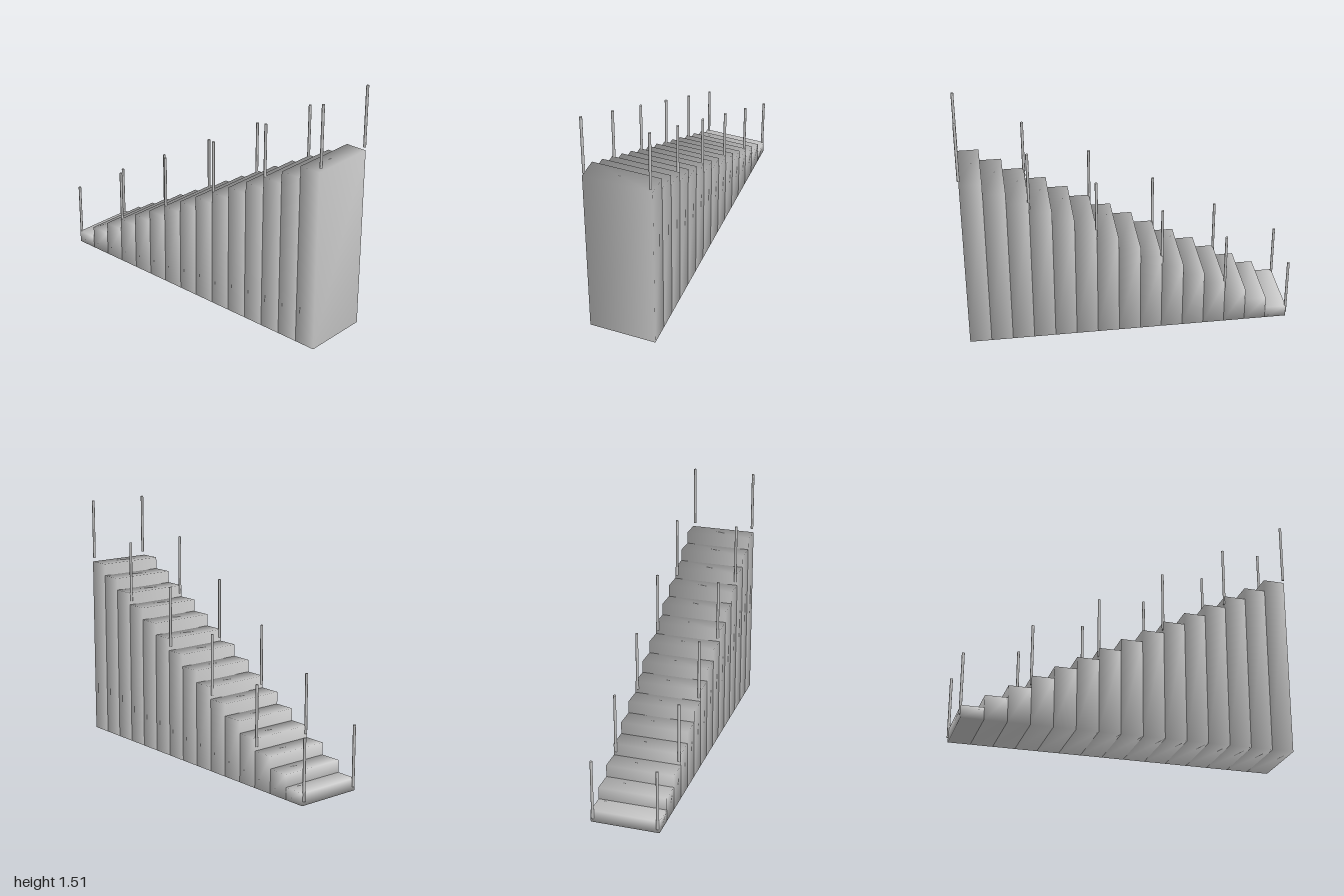
import * as THREE from 'three';
import { mergeVertices } from 'three/addons/utils/BufferGeometryUtils.js';

const STEPS = 15, RUN = 1.985 / STEPS, RISE = 0.0745, DEPTH = 0.414;
const POST_HEIGHT = 0.37, POST_RADIUS = 0.0085;

// Box whose corners share one smooth normal
function softBox(w, h, d) {
  const box = new THREE.BoxGeometry(w, h, d);
  box.deleteAttribute('normal');
  box.deleteAttribute('uv');
  const geometry = mergeVertices(box);
  geometry.computeVertexNormals();
  return geometry;
}

export function createModel() {
  const group = new THREE.Group();
  group.name = 'staircase';
  const material = new THREE.MeshStandardMaterial({ color: 0xcccccc });

  // Solid steps, each a block standing on the ground
  const steps = new THREE.Group();
  steps.name = 'steps';
  for (let i = 0; i < STEPS; i++) {
    const height = RISE * (i + 1);
    const step = new THREE.Mesh(softBox(RUN, height, DEPTH), material);
    step.name = `step${i + 1}`;
    step.position.set((i - (STEPS - 1) / 2) * RUN, height / 2, 0);
    steps.add(step);
  }
  group.add(steps);

  // Railing posts on both sides, one for every three steps
  const posts = new THREE.Group();
  posts.name = 'railingPosts';
  const postGeometry = new THREE.CylinderGeometry(POST_RADIUS, POST_RADIUS, POST_HEIGHT, 8);
  for (const side of [-1, 1]) {
    for (let i = 0; i <= STEPS; i += 3) {
      const post = new THREE.Mesh(postGeometry, material);
      post.name = side > 0 ? 'frontPost' : 'backPost';
      post.position.set((i - STEPS / 2) * RUN, 0.024 + RISE * i + POST_HEIGHT / 2, side * 0.195);
      posts.add(post);
    }
  }
  group.add(posts);
  return group;
}
